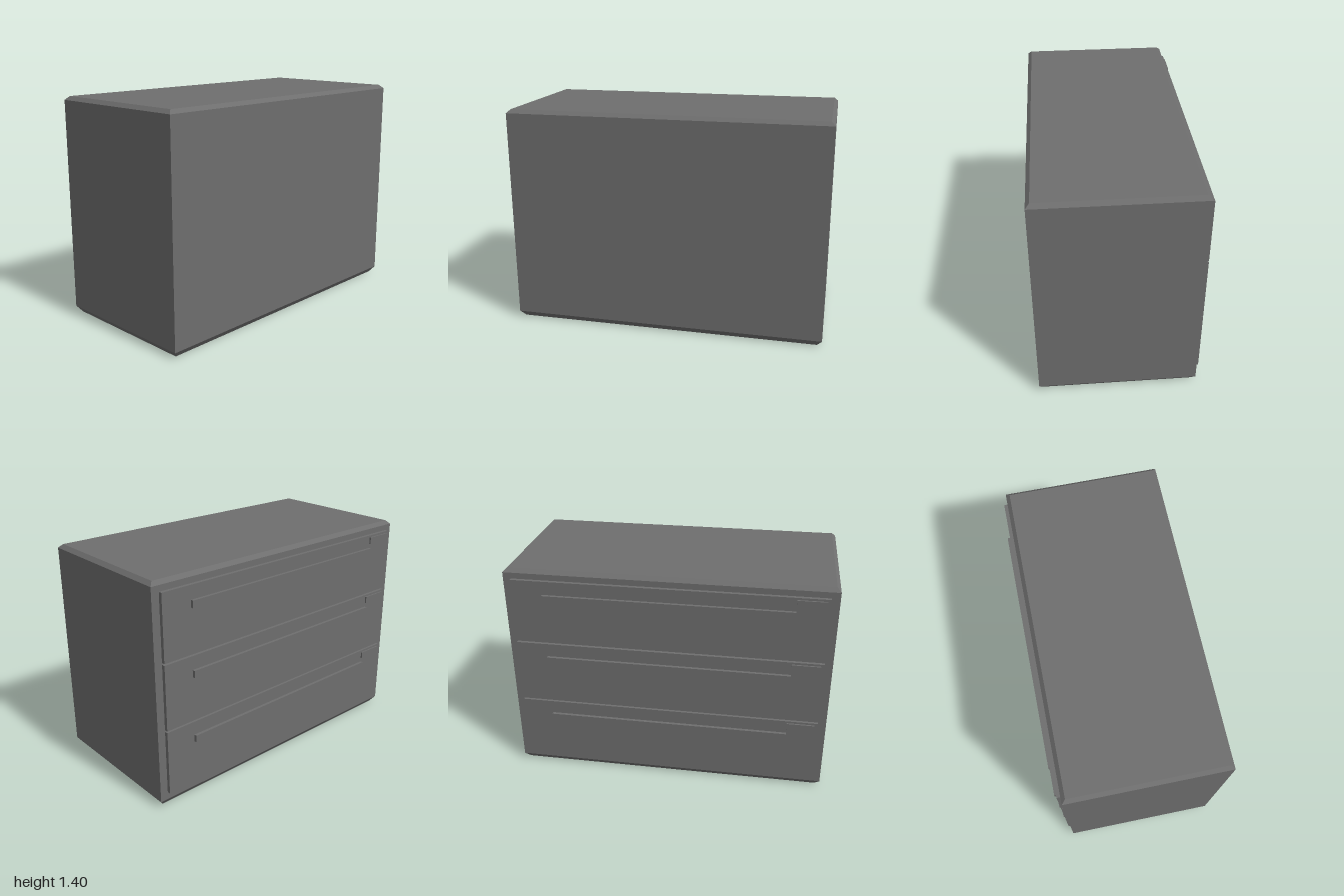
import * as THREE from 'three';

const material = new THREE.MeshStandardMaterial({ color: 0x6e6e6e, flatShading: true });

// Box given by its min and max corners
function block(name, x0, x1, y0, y1, z0, z1) {
  const geometry = new THREE.BoxGeometry(x1 - x0, y1 - y0, z1 - z0);
  geometry.translate((x0 + x1) / 2, (y0 + y1) / 2, (z0 + z1) / 2);
  const mesh = new THREE.Mesh(geometry, material);
  mesh.name = name;
  return mesh;
}

// Cabinet with chamfered top and bottom: each row of box vertices gets a height and an inset
function cabinetBody() {
  const width = 2, depth = 0.975, zCentre = 0.021;
  const rows = [[0, 0.03], [0.04, 0], [1.379, 0], [1.402, 0.024]];
  const box = new THREE.BoxGeometry(width, 3, depth, 1, 3, 1);
  const pos = box.attributes.position;
  for (let i = 0; i < pos.count; i++) {
    const [y, inset] = rows[Math.round(pos.getY(i) + 1.5)];
    const x = Math.sign(pos.getX(i)) * (width / 2 - inset);
    const z = Math.sign(pos.getZ(i)) * (depth / 2 - inset) + zCentre;
    pos.setXYZ(i, x, y, z);
  }
  const geometry = box.toNonIndexed();
  geometry.computeVertexNormals();
  const mesh = new THREE.Mesh(geometry, material);
  mesh.name = 'cabinetBody';
  return mesh;
}

// Drawer front with its long pull bar and small label holder, facing -z
function drawer(index) {
  const group = new THREE.Group();
  group.name = 'drawer' + (index + 1);
  group.add(
    block('drawerFront', -0.95, 0.95, 0, 0.41, -0.489, -0.46),
    block('handle', -0.758, 0.758, 0.28, 0.325, -0.508, -0.48),
    block('labelHolder', -0.93, -0.758, 0.352, 0.397, -0.499, -0.48)
  );
  group.position.y = 0.09 + index * 0.421;
  return group;
}

export function createModel() {
  const model = new THREE.Group();
  model.name = 'drawerCabinet';
  model.add(cabinetBody());
  for (let i = 0; i < 3; i++) model.add(drawer(i));
  return model;
}
